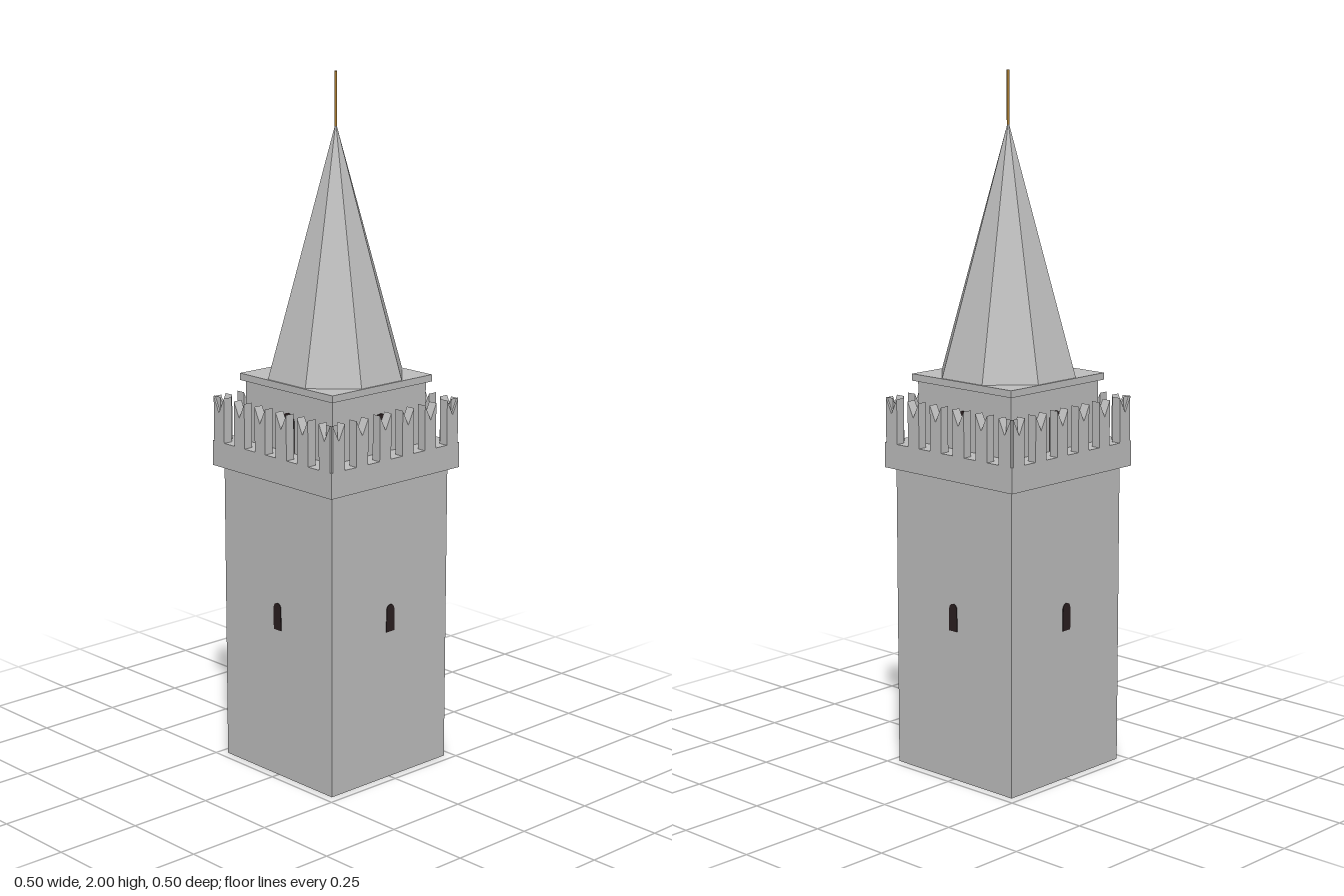
import * as THREE from 'three';

const material = (name, color) => {
  const m = new THREE.MeshStandardMaterial({ color });
  m.name = name;
  return m;
};

export function createModel() {
  const tower = new THREE.Group();
  tower.name = 'tower';

  const stone = material('stone', 0xbebebe);
  stone.side = THREE.DoubleSide;
  stone.flatShading = true;
  const dark = material('windowDark', 0x2a1f20);
  const brass = material('brass', 0xa87a30);

  const add = (parent, name, geometry, mat, x = 0, y = 0, z = 0) => {
    const mesh = new THREE.Mesh(geometry, mat);
    mesh.name = name;
    mesh.position.set(x, y, z);
    parent.add(mesh);
    return mesh;
  };
  const block = (name, width, y0, y1) =>
    add(tower, name, new THREE.BoxGeometry(width, y1 - y0, width), stone, 0, (y0 + y1) / 2, 0);

  // Hollow square shaft, open at the foot
  const shaft = new THREE.CylinderGeometry(0.225 * Math.SQRT2, 0.225 * Math.SQRT2, 0.88, 4, 1, true);
  shaft.rotateY(Math.PI / 4);
  add(tower, 'shaft', shaft, stone, 0, 0.44, 0);

  // Gallery, upper room and roof slab
  block('gallery', 0.496, 0.88, 0.953);
  block('upperRoom', 0.36, 0.953, 1.13);
  block('roofSlab', 0.384, 1.13, 1.15);

  // Eight-sided spire with flat sides facing the axes
  const spire = new THREE.ConeGeometry(0.2025, 0.71, 8, 1);
  spire.rotateY(Math.PI / 8);
  add(tower, 'spire', spire, stone, 0, 1.505, 0);
  add(tower, 'finialRod', new THREE.CylinderGeometry(0.004, 0.004, 0.15, 8), brass, 0, 1.925, 0);

  // Swallow-tailed merlon
  const tail = new THREE.Shape([
    [-0.022, 0], [0.022, 0], [0.022, 0.13], [0, 0.085], [-0.022, 0.13],
  ].map(([x, y]) => new THREE.Vector2(x, y)));
  const merlon = new THREE.ExtrudeGeometry(tail, { depth: 0.028, bevelEnabled: false });

  // Narrow window plate with a low arched head
  const windowPlate = (halfWidth, height, rise) => {
    const s = new THREE.Shape();
    s.moveTo(-halfWidth, 0);
    s.lineTo(halfWidth, 0);
    s.lineTo(halfWidth, height - rise);
    s.quadraticCurveTo(halfWidth * 0.8, height, 0, height);
    s.quadraticCurveTo(-halfWidth * 0.8, height, -halfWidth, height - rise);
    return new THREE.ExtrudeGeometry(s, { depth: 0.003, bevelEnabled: false, curveSegments: 4 });
  };
  const lowerWindow = windowPlate(0.015, 0.08, 0.014);
  const upperWindow = windowPlate(0.024, 0.112, 0.02);

  // The four sides share the same merlons and windows
  ['front', 'left', 'back', 'right'].forEach((side, i) => {
    const face = new THREE.Group();
    face.name = side + 'Side';
    face.rotation.y = i * Math.PI / 2;
    for (let k = 0; k < 6; k++) add(face, 'merlon', merlon, stone, (k - 2.5) * 0.088, 0.953, 0.22);
    add(face, 'lowerWindow', lowerWindow, dark, 0, 0.44, 0.224);
    add(face, 'upperWindow', upperWindow, dark, 0, 0.954, 0.179);
    tower.add(face);
  });

  return tower;
}
